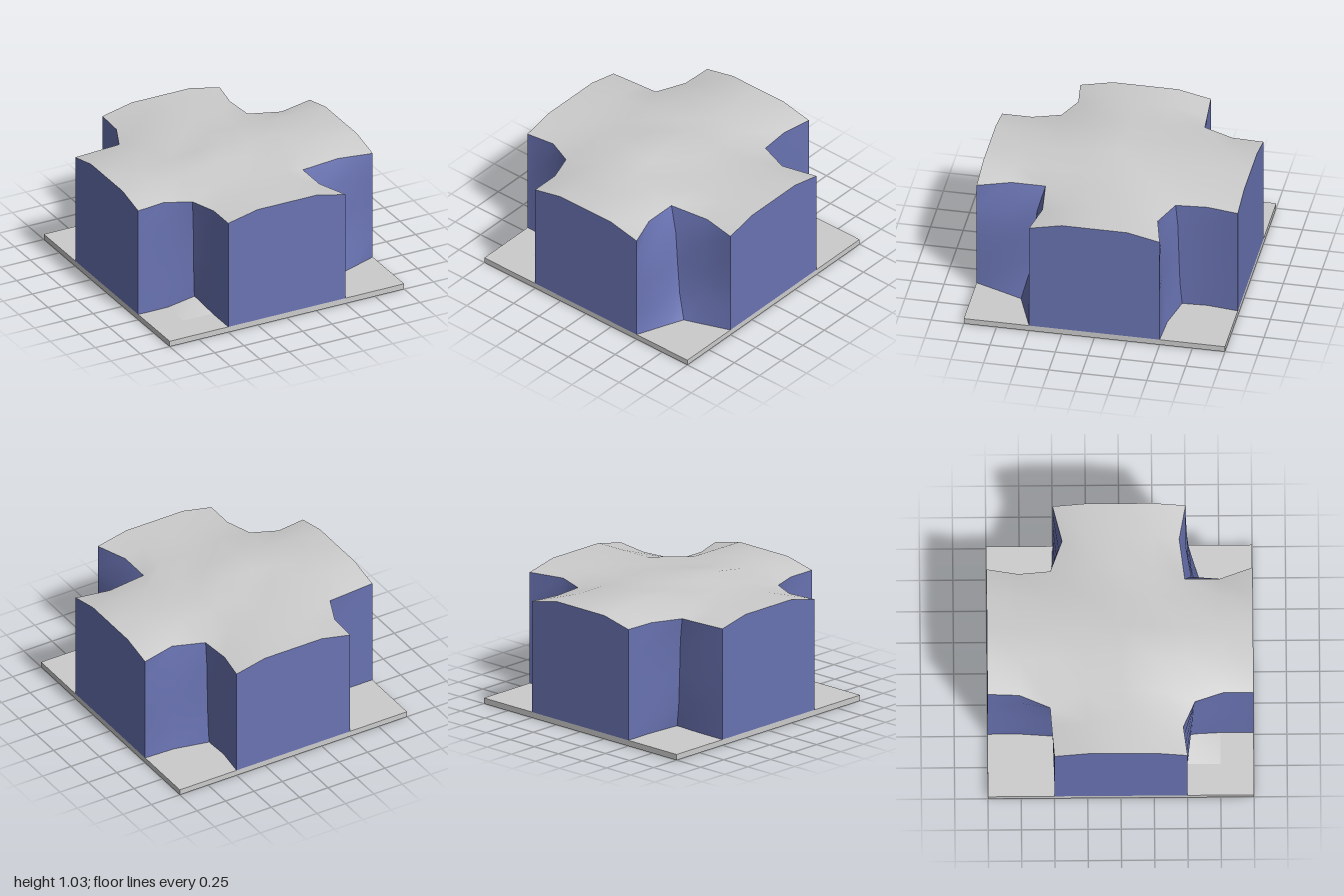
import * as THREE from 'three';
import { toCreasedNormals } from 'three/addons/utils/BufferGeometryUtils.js';

const FLOOR = 0.045, RIM = 0.92;

// Rim and foot outlines [x, z] of the four corner notches, walked round the block
const notches = [
  { name: 'frontLeftNotch',
    rim: [[0.5, 1], [0.41, 0.75], [0.41, 0.49], [0.73, 0.45], [1, 0.5]],
    foot: [[0.5, 1], [0.6, 0.75], [0.65, 0.63], [0.76, 0.59], [1, 0.5]] },
  { name: 'backLeftNotch',
    rim: [[1, -0.5], [0.72, -0.43], [0.48, -0.52], [0.46, -0.76], [0.5, -1]],
    foot: [[1, -0.5], [0.75, -0.51], [0.48, -0.57], [0.47, -0.76], [0.5, -1]] },
  { name: 'backRightNotch',
    rim: [[-0.5, -1], [-0.51, -0.76], [-0.61, -0.53], [-0.75, -0.52], [-1, -0.5]],
    foot: [[-0.5, -1], [-0.5, -0.76], [-0.52, -0.49], [-0.74, -0.5], [-1, -0.5]] },
  { name: 'frontRightNotch',
    rim: [[-1, 0.5], [-0.77, 0.47], [-0.57, 0.56], [-0.5, 0.77], [-0.5, 1]],
    foot: [[-1, 0.5], [-0.75, 0.5], [-0.53, 0.52], [-0.5, 0.75], [-0.5, 1]] },
];

// Surface through rows of [x, y, z] points; columns run left to right seen from outside
function sheet(rows, keep = () => true) {
  const w = rows[0].length, index = [];
  for (let j = 0; j < rows.length - 1; j++) {
    for (let i = 0; i < w - 1; i++) {
      if (!keep(i, j)) continue;
      const a = j * w + i, b = a + 1, c = a + w, d = c + 1;
      index.push(a, c, b, b, c, d);
    }
  }
  const geo = new THREE.BufferGeometry();
  geo.setAttribute('position', new THREE.Float32BufferAttribute(rows.flat(2), 3));
  geo.setIndex(index);
  geo.computeVertexNormals();
  return geo;
}

// Gentle humps on the top
function topHeight(x, z) {
  const hump = (cx, cz, h, r) => h * Math.exp(-((x - cx) ** 2 + (z - cz) ** 2) / (r * r));
  const edge = Math.max(Math.abs(x), Math.abs(z));
  if (edge > 0.99) return 0.975;
  return 0.977 + hump(-0.27, 0.25, 0.05, 0.25) + hump(0, 0, 0.045, 0.25) + hump(-0.25, -0.5, 0.035, 0.25);
}

export function createModel() {
  const group = new THREE.Group();
  const grey = new THREE.MeshStandardMaterial({ color: 0xcccccc, side: THREE.DoubleSide });
  grey.name = 'pale grey';
  const blue = new THREE.MeshStandardMaterial({ color: 0x6973b2, side: THREE.DoubleSide });
  blue.name = 'slate blue';
  const add = (name, geo, mat) => {
    const mesh = new THREE.Mesh(geo, mat);
    mesh.name = name;
    group.add(mesh);
    return mesh;
  };

  // Base plate
  add('basePlate', new THREE.BoxGeometry(2, FLOOR, 2), grey).position.y = FLOOR / 2;

  // Top grid, with the notch rims pulled to their outlines
  const top = [];
  for (let j = 0; j < 9; j++) {
    top.push([]);
    for (let i = 0; i < 9; i++) {
      const x = i / 4 - 1, z = j / 4 - 1;
      top[j].push([x, topHeight(x, z), z]);
    }
  }
  const cell = (v) => Math.round((v + 1) * 4);
  let path = [[0.5, 1], [0.5, 0.75], [0.5, 0.5], [0.75, 0.5], [1, 0.5]];
  for (const { rim } of notches) {
    path.forEach(([x, z], k) => { top[cell(z)][cell(x)] = [rim[k][0], RIM, rim[k][1]]; });
    path = path.map(([x, z]) => [z, -x]);
  }
  const inCorner = (k) => k < 2 || k > 5;
  add('topSurface', sheet(top, (i, j) => !(inCorner(i) && inCorner(j))), grey);

  // Notch walls, bending from rim to foot
  const levels = [[RIM, 1], [0.74, 0.65], [0.48, 0.5], [0.23, 0.33], [FLOOR, 0]];
  for (const { name, rim, foot } of notches) {
    const rows = levels.map(([y, t]) => rim.map((p, k) => [
      THREE.MathUtils.lerp(foot[k][0], p[0], t), y, THREE.MathUtils.lerp(foot[k][1], p[1], t)]));
    add(name, toCreasedNormals(sheet(rows), 0.75), blue);
  }

  // Four flat outer walls, following the edge of the top
  const span = [2, 3, 4, 5, 6], back = [...span].reverse();
  const sides = {
    frontWall: span.map((i) => top[8][i]),
    leftWall: back.map((j) => top[j][8]),
    backWall: back.map((i) => top[0][i]),
    rightWall: span.map((j) => top[j][0]),
  };
  for (const [name, edge] of Object.entries(sides)) {
    add(name, sheet([edge, edge.map(([x, , z]) => [x, FLOOR, z])]), blue);
  }

  // Small rise of the ground in one notch
  add('groundRise', sheet([
    [[-0.75, FLOOR, 0.49], [-0.52, 0.1, 0.51]],
    [[-0.75, FLOOR, 0.75], [-0.49, FLOOR, 0.75]],
  ]), grey);

  return group;
}
